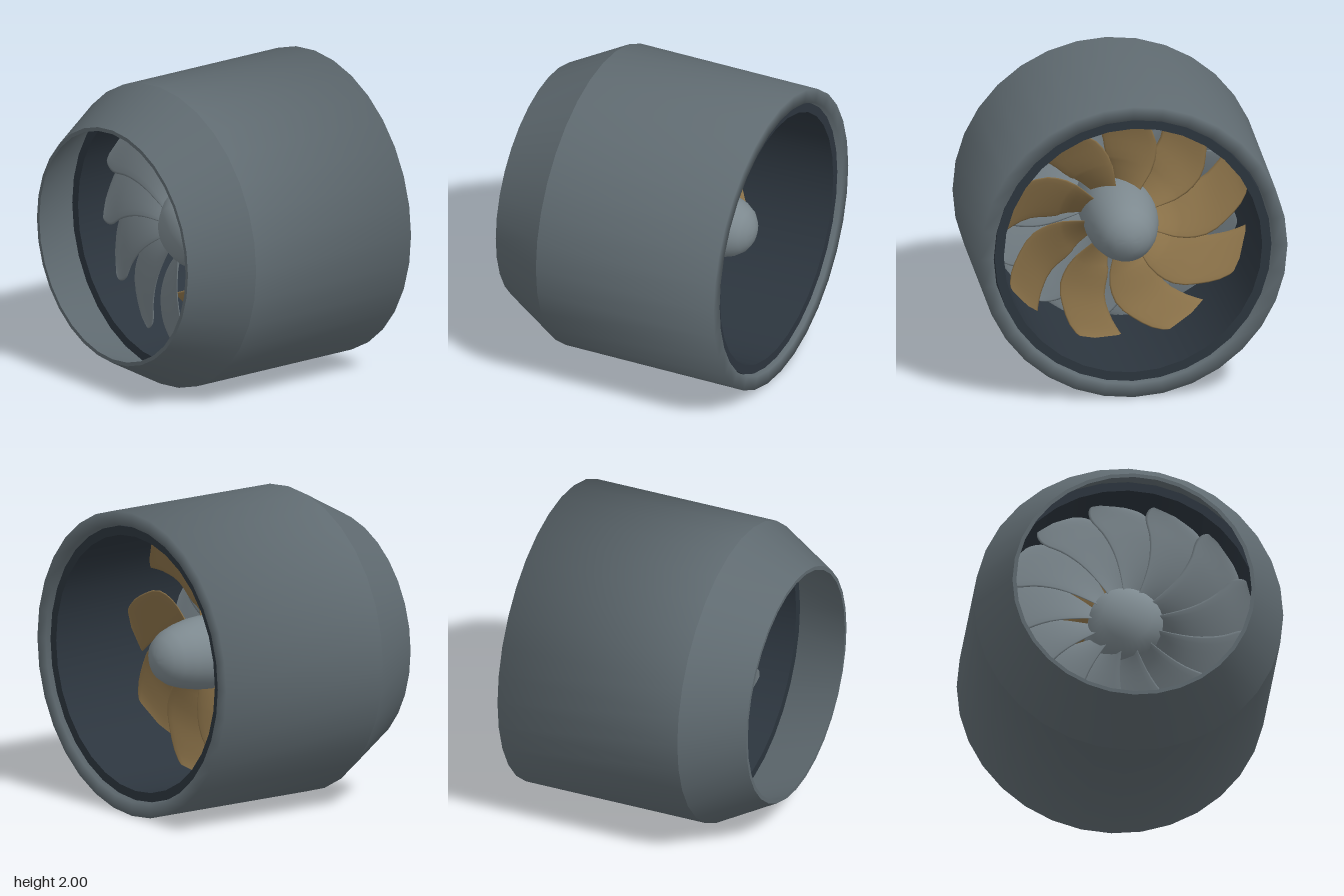
import * as THREE from 'three';
import { toCreasedNormals } from 'three/addons/utils/BufferGeometryUtils.js';

const material = (color) => new THREE.MeshStandardMaterial({ color });
const shellMat = material(0x5f6a70);
const linerMat = material(0x2c353e);
const hubMat = material(0x7d898f);
const bladeMat = material(0x8b7249);
const vaneMat = material(0x737e84);
const RAD = Math.PI / 180;

// Turns a [radius, x] profile around the engine axis (x).
function turned(name, profile, mat, crease) {
  const points = profile.map(([r, x]) => new THREE.Vector2(r, x));
  const geometry = toCreasedNormals(new THREE.LatheGeometry(points, 32), crease);
  geometry.rotateZ(-Math.PI / 2);
  const mesh = new THREE.Mesh(geometry, mat);
  mesh.name = name;
  return mesh;
}

// Lofts a thin lens section along stations of [radius, mid angle, half angle] in degrees.
function bladeGeometry(stations, x0, pitchRoot, pitchTip, thickness) {
  const curve = new THREE.CatmullRomCurve3(stations.map((s) => new THREE.Vector3(...s)));
  const rows = 18, around = 16;
  const position = [], index = [];
  for (let i = 0; i <= rows; i++) {
    const s = curve.getPoint(i / rows);
    const pitch = THREE.MathUtils.lerp(pitchRoot, pitchTip, i / rows);
    for (let j = 0; j < around; j++) {
      const t = (j / around) * Math.PI * 2;
      const v = Math.cos(t);
      const a = (s.y + v * s.z) * RAD;
      const x = x0 + pitch * v + thickness * Math.sin(t);
      position.push(x, s.x * Math.cos(a), -s.x * Math.sin(a));
      if (i < rows) {
        const p = i * around + j, q = i * around + ((j + 1) % around);
        index.push(p, p + around, q, q, p + around, q + around);
      }
    }
  }
  const geometry = new THREE.BufferGeometry();
  geometry.setAttribute('position', new THREE.Float32BufferAttribute(position, 3));
  geometry.setIndex(index);
  geometry.computeVertexNormals();
  return geometry;
}

// Repeats one blade around the axis.
function wheel(name, partName, count, geometry, mat) {
  const group = new THREE.Group();
  group.name = name;
  for (let i = 0; i < count; i++) {
    const mesh = new THREE.Mesh(geometry, mat);
    mesh.name = partName;
    mesh.rotation.x = (i / count) * Math.PI * 2;
    group.add(mesh);
  }
  return group;
}

export function createModel() {
  const model = new THREE.Group();
  model.name = 'turbofanEngine';
  const engine = new THREE.Group();
  engine.name = 'engine';
  engine.position.y = 1;
  model.add(engine);

  // Outer casing with a softly shaded intake lip
  engine.add(turned('casing', [
    [1, -0.44], [1, 0.83], [0.91, 0.83], [0.91, -0.44],
  ], shellMat, 1.7));

  // Tapered rear nozzle
  engine.add(turned('nozzle', [
    [0.91, -0.44], [0.76, -0.83], [0.785, -0.83], [1, -0.44],
  ], shellMat, 0.4));

  // Dark duct lining, slightly recessed
  engine.add(turned('ductLiner', [
    [0.84, -0.45], [0.9, -0.45], [0.9, 0.8], [0.84, 0.8], [0.84, -0.45],
  ], linerMat, 0.4));

  // Hub with a tapering, rounded nose and a short tail
  engine.add(turned('hub', [
    [0, -0.36], [0.16, -0.33], [0.24, -0.25], [0.24, 0.22], [0.232, 0.33], [0.21, 0.44],
    [0.18, 0.53], [0.14, 0.59], [0.09, 0.625], [0.04, 0.643], [0, 0.646],
  ], hubMat, 0.9));

  // Nine swept fan blades
  const fan = bladeGeometry([
    [0.18, 12, 20], [0.27, 12, 20], [0.4, 10, 21], [0.55, 7, 18],
    [0.7, -1.5, 14], [0.82, -9.5, 11], [0.885, -17, 6], [0.905, -20, 0.3],
  ], 0.17, 0.08, 0.05, 0.012);
  engine.add(wheel('fan', 'fanBlade', 9, fan, bladeMat));

  // Rear guide vanes, swept the other way
  const vane = bladeGeometry([
    [0.18, -12, 17], [0.4, -10, 18], [0.6, -5, 18], [0.74, 1, 17],
    [0.82, 4, 13], [0.86, 6, 6],
  ], -0.2, -0.07, -0.05, 0.012);
  engine.add(wheel('guideVanes', 'guideVane', 13, vane, vaneMat));

  return model;
}
